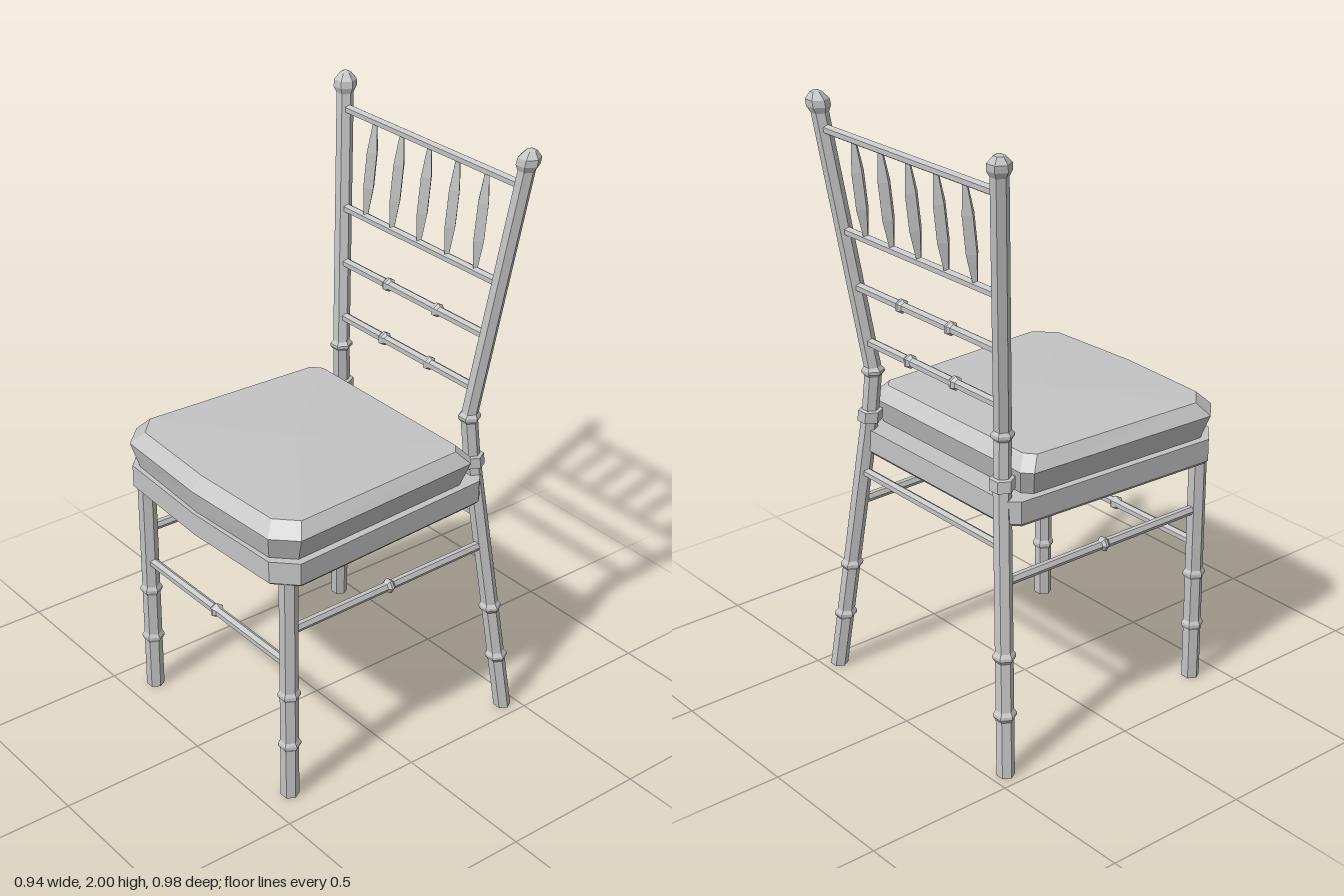
import * as THREE from 'three';

const gray = new THREE.MeshStandardMaterial({ color: 0xc4c4c4, flatShading: true });
gray.name = 'light gray';

function addMesh(group, name, geometry) {
  const mesh = new THREE.Mesh(geometry, gray);
  mesh.name = name;
  group.add(mesh);
  return mesh;
}

// Turned shape: closed profile of [radius, height] pairs, bottom to top
function turned(profile, sides = 6, start = Math.PI / 6) {
  const pts = [[0, profile[0][1]], ...profile, [0, profile[profile.length - 1][1]]];
  return new THREE.LatheGeometry(pts.map(([r, y]) => new THREE.Vector2(r, y)), sides, start);
}

// Bamboo-like joint: bulge around height y on a shaft of radius r
function joint(y, r, bulge, half) {
  return [[r, y - half], [bulge, y - half * 0.3], [bulge, y + half * 0.3], [r, y + half]];
}

// Thin bar between two points, with joints at given distances from its middle
function addBar(group, name, a, b, joints = [], r = 0.016) {
  const from = new THREE.Vector3(...a), to = new THREE.Vector3(...b);
  const half = from.distanceTo(to) / 2;
  const profile = [[r, -half], ...joints.flatMap((d) => joint(d, r, 0.024, 0.014)), [r, half]];
  const bar = addMesh(group, name, turned(profile));
  bar.position.copy(from).add(to).multiplyScalar(0.5);
  bar.quaternion.setFromUnitVectors(new THREE.Vector3(0, 1, 0), to.sub(from).normalize());
}

// Centre line of the left back post: [y, x, z]
const postPath = [[0, 0.443, -0.45], [0.93, 0.333, -0.368], [1.09, 0.323, -0.357], [2, 0.437, -0.458]];
function postAt(y) {
  let i = 0;
  while (i < postPath.length - 2 && y > postPath[i + 1][0]) i++;
  const a = postPath[i], b = postPath[i + 1], t = (y - a[0]) / (b[0] - a[0]);
  return [a[1] + (b[1] - a[1]) * t, a[2] + (b[2] - a[2]) * t];
}

// Back post, sheared along its centre line
function postGeometry(side) {
  const geo = turned([
    [0.029, 0], ...joint(0.2, 0.029, 0.037, 0.016), ...joint(0.39, 0.029, 0.037, 0.016),
    [0.029, 0.915], [0.04, 0.918], [0.04, 0.955], [0.028, 0.958],
    ...joint(1.09, 0.028, 0.037, 0.016),
    [0.028, 1.93], [0.038, 1.95], [0.037, 1.972], [0.018, 1.994], [0.003, 2],
  ]);
  const p = geo.attributes.position;
  for (let i = 0; i < p.count; i++) {
    const [x, z] = postAt(p.getY(i));
    p.setXYZ(i, p.getX(i) + side * x, p.getY(i), p.getZ(i) + z);
  }
  geo.computeVertexNormals();
  return geo;
}

// Loft through mirrored half outlines; each layer is [y, [[x, z], ...]] from front centre to back
function loft(layers, topCentreY) {
  const rings = layers.map(([y, half]) => {
    const mirrored = half.slice(1).reverse().map(([x, z]) => [-x, z]);
    return [...half, ...mirrored].map(([x, z]) => [x, y, z]);
  });
  const n = rings[0].length, last = rings.length - 1;
  const bottom = [0, layers[0][0], 0.08], top = [0, topCentreY, 0.08];
  const verts = [];
  for (let j = 0; j < n; j++) {
    const k = (j + 1) % n;
    verts.push(bottom, rings[0][k], rings[0][j]);
    for (let i = 0; i < last; i++) {
      const a = rings[i], b = rings[i + 1];
      verts.push(a[j], a[k], b[k], a[j], b[k], b[j]);
    }
    verts.push(top, rings[last][j], rings[last][k]);
  }
  const geo = new THREE.BufferGeometry();
  geo.setAttribute('position', new THREE.Float32BufferAttribute(verts.flat(), 3));
  geo.computeVertexNormals();
  return geo;
}

export function createModel() {
  const chair = new THREE.Group();
  chair.name = 'chair';

  // Legs and back posts
  for (const side of [1, -1]) {
    const label = side > 0 ? 'left' : 'right';
    const leg = addMesh(chair, label + 'FrontLeg', turned([
      [0.03, 0], ...joint(0.2, 0.03, 0.037, 0.016), ...joint(0.39, 0.03, 0.037, 0.016), [0.03, 0.82],
    ]));
    leg.position.set(side * 0.381, 0, 0.407);
    addMesh(chair, label + 'BackPost', postGeometry(side));
    const [x, z] = postAt(0.625);
    addBar(chair, label + 'Stretcher', [side * 0.381, 0.625, 0.407], [side * x, 0.625, z], [0]);
  }

  // Front and back stretchers
  addBar(chair, 'frontStretcher', [-0.381, 0.5, 0.407], [0.381, 0.5, 0.407], [0]);
  const [bx, bz] = postAt(0.735);
  addBar(chair, 'backStretcher', [-bx, 0.735, bz], [bx, 0.735, bz]);

  // Back rails
  for (const [y, joints] of [[1.19, [-0.112, 0.112]], [1.375, [-0.12, 0.12]], [1.557, []], [1.88, []]]) {
    const [x, z] = postAt(y);
    addBar(chair, 'backRail', [-x, y, z], [x, y, z], joints);
  }

  // Swelling spindles between the two upper rails
  const low = new THREE.Vector3(0, 1.557, postAt(1.557)[1]);
  const high = new THREE.Vector3(0, 1.88, postAt(1.88)[1]);
  const tilt = high.clone().sub(low).normalize();
  for (let i = -2; i <= 2; i++) {
    const spindle = addMesh(chair, 'spindle', turned(
      [[0.009, -0.16], [0.023, -0.06], [0.023, 0.06], [0.009, 0.16]], 4, 0));
    spindle.position.copy(low).add(high).multiplyScalar(0.5).setX(i * 0.133);
    spindle.quaternion.setFromUnitVectors(new THREE.Vector3(0, 1, 0), tilt);
  }

  // Seat frame
  const frame = [[0, 0.485], [0.365, 0.468], [0.434, 0.4], [0.396, -0.345], [0.36, -0.382]];
  const frameUnder = frame.map(([x, z]) => [x * 0.975, z * 0.975]);
  addMesh(chair, 'seatFrame', loft([[0.803, frameUnder], [0.815, frame], [0.89, frame]], 0.89));

  // Cushion
  addMesh(chair, 'cushion', loft([
    [0.89, [[0, 0.472], [0.345, 0.452], [0.408, 0.388], [0.375, -0.28], [0.345, -0.306]]],
    [0.972, [[0, 0.49], [0.368, 0.472], [0.438, 0.4], [0.402, -0.3], [0.37, -0.328]]],
    [1.014, [[0, 0.45], [0.335, 0.434], [0.4, 0.37], [0.37, -0.262], [0.337, -0.29]]],
  ], 1.024));

  return chair;
}
